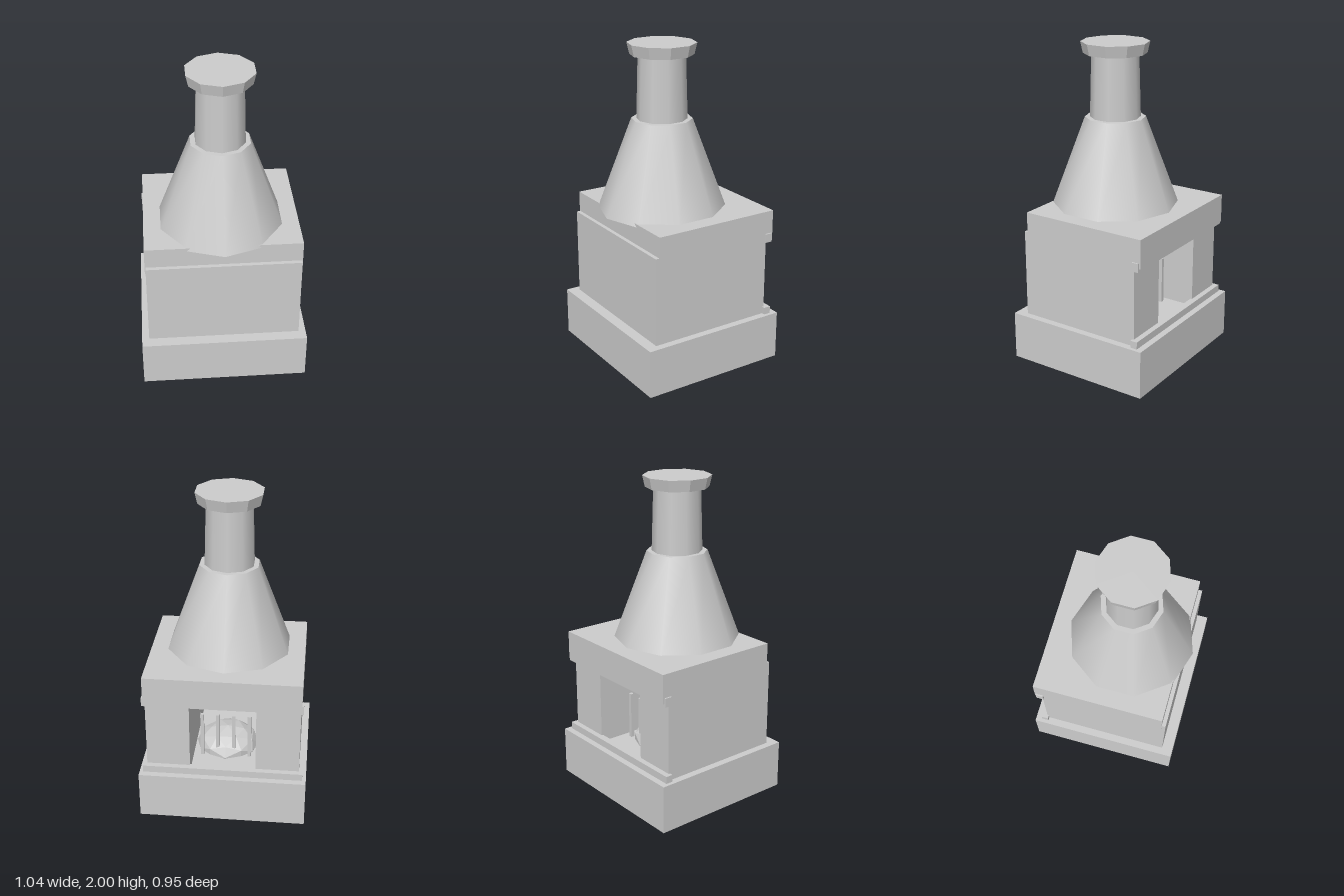
import * as THREE from 'three';

export function createModel() {
  const group = new THREE.Group();
  const stone = new THREE.MeshStandardMaterial({ color: 0xcccccc });
  stone.name = 'light grey stone';
  const stoneFlat = stone.clone();
  stoneFlat.flatShading = true;

  function add(name, geometry, x, y, z, material = stone) {
    const mesh = new THREE.Mesh(geometry, material);
    mesh.name = name;
    mesh.position.set(x, y, z);
    group.add(mesh);
    return mesh;
  }
  // Box given by its extents along each axis
  function block(name, x0, x1, y0, y1, z0, z1) {
    add(name, new THREE.BoxGeometry(x1 - x0, y1 - y0, z1 - z0),
      (x0 + x1) / 2, (y0 + y1) / 2, (z0 + z1) / 2);
  }
  // Ten-sided tapered section of the flue
  const flueZ = 0.053;
  function section(name, rTop, rBottom, y0, y1, material) {
    add(name, new THREE.CylinderGeometry(rTop, rBottom, y1 - y0, 10), 0, (y0 + y1) / 2, flueZ, material);
  }

  // Plinth
  block('base', -0.52, 0.52, 0, 0.305, -0.475, 0.475);

  // Firebox walls, open at the back
  const plan = new THREE.Shape([
    [-0.475, -0.405], [0.475, -0.405], [0.475, 0.4], [0.205, 0.4],
    [0.205, -0.33], [-0.205, -0.33], [-0.205, 0.4], [-0.475, 0.4],
  ].map(([x, y]) => new THREE.Vector2(x, y)));
  const walls = new THREE.ExtrudeGeometry(plan, { depth: 0.555, bevelEnabled: false });
  walls.rotateX(-Math.PI / 2);
  add('fireboxWalls', walls, 0, 0.305, 0);

  // Top slab and the two ledges along the opening
  block('topSlab', -0.48, 0.48, 0.81, 0.99, -0.445, 0.38);
  block('upperLedge', -0.49, 0.49, 0.79, 0.845, -0.435, -0.39);
  block('lowerLedge', -0.497, 0.497, 0.305, 0.35, -0.435, -0.39);

  // Grate bars
  for (const x of [-0.15, -0.05, 0.05, 0.15]) {
    block('grateBar', x - 0.011, x + 0.011, 0.305, 0.605, -0.211, -0.189);
  }

  // Heap of coals on the hearth
  const coals = new THREE.IcosahedronGeometry(1, 1);
  coals.scale(0.2, 0.12, 0.2);
  add('coalHeap', coals, 0, 0.31, -0.05, stoneFlat);

  // Hood, chimney and cap
  section('hood', 0.187, 0.4, 0.97, 1.54);
  section('chimney', 0.144, 0.156, 1.53, 1.94);
  section('chimneyCap', 0.21, 0.194, 1.93, 2, stoneFlat);

  return group;
}
